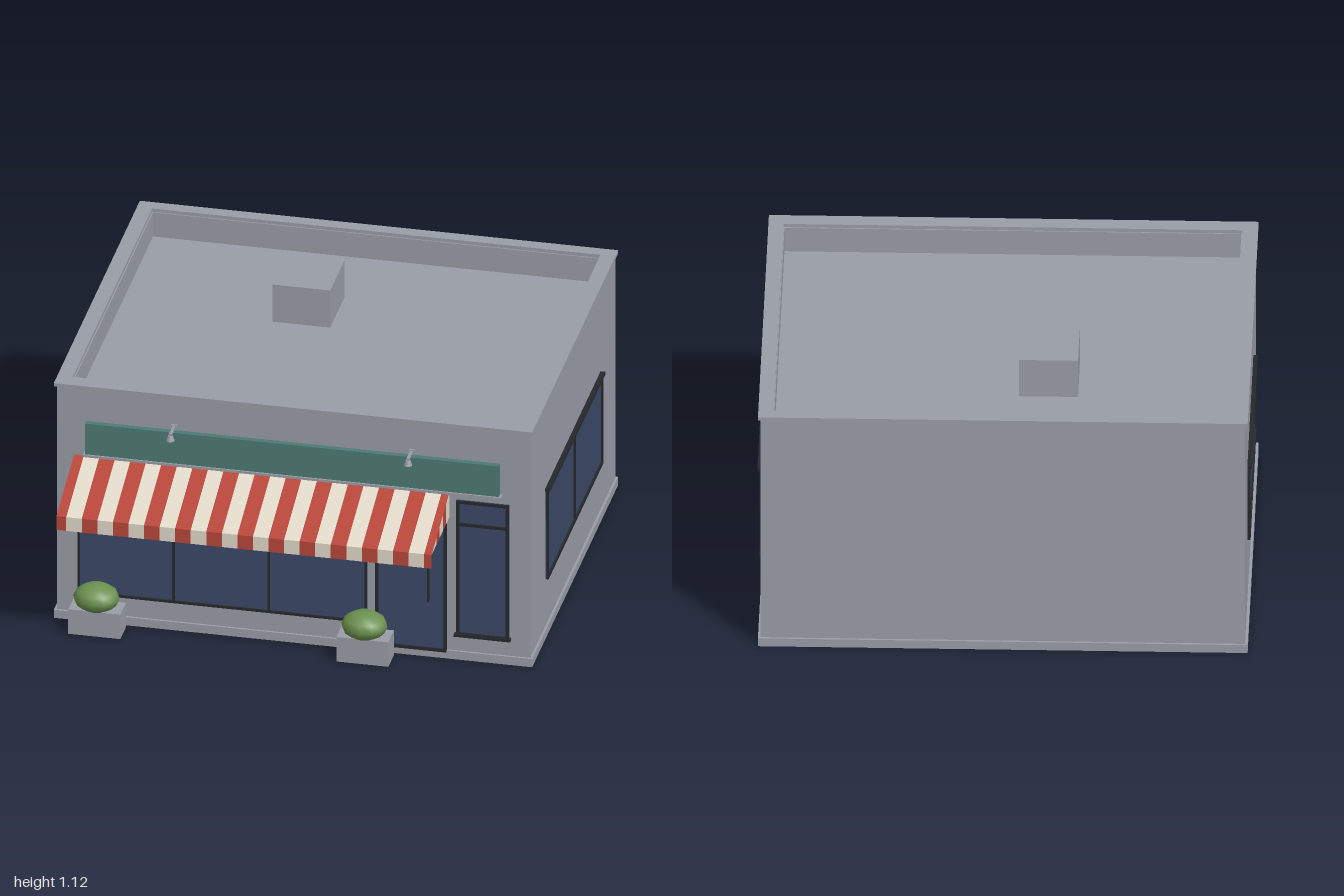
import * as THREE from 'three';

const paint = (name, color, side = THREE.FrontSide) => {
  const m = new THREE.MeshStandardMaterial({ color, side });
  m.name = name;
  return m;
};

export function createModel() {
  const shop = new THREE.Group();
  shop.name = 'shop';
  const wall = paint('wall grey', 0x999da7);
  const teal = paint('sign teal', 0x4d7a74);
  const glass = paint('glass blue', 0x3d4868);
  const dark = paint('frame dark', 0x25282b);
  const red = paint('awning red', 0xb8463a, THREE.DoubleSide);
  const cream = paint('awning cream', 0xe2dacb, THREE.DoubleSide);
  const leaf = paint('leaf green', 0x6c9150);

  const add = (parent, name, geo, mat) => {
    const mesh = new THREE.Mesh(geo, mat);
    mesh.name = name;
    parent.add(mesh);
    return mesh;
  };
  // Box given by its limits on each axis
  const box = (parent, name, mat, x0, x1, y0, y1, z0, z1) => {
    const mesh = add(parent, name, new THREE.BoxGeometry(x1 - x0, y1 - y0, z1 - z0), mat);
    mesh.position.set((x0 + x1) / 2, (y0 + y1) / 2, (z0 + z1) / 2);
    return mesh;
  };
  // Flat rectangular ring lying level between y0 and y1
  const ring = (name, outer, inner, y0, y1) => {
    const corners = ([x0, x1, z0, z1]) => [[x0, -z1], [x1, -z1], [x1, -z0], [x0, -z0]].map(p => new THREE.Vector2(...p));
    const shape = new THREE.Shape(corners(outer));
    shape.holes.push(new THREE.Path(corners(inner).reverse()));
    const geo = new THREE.ExtrudeGeometry(shape, { depth: y1 - y0, bevelEnabled: false });
    geo.rotateX(-Math.PI / 2);
    add(shop, name, geo, wall).position.y = y0;
  };
  // Framed glazing facing +z, with upright and level bars
  const glazing = (name, x0, x1, y0, y1, { uprights = [], levels = [], t = 0.01, depth = 0.012 } = {}) => {
    const g = new THREE.Group();
    g.name = name;
    box(g, 'pane', glass, x0, x1, y0, y1, -0.002, 0.005);
    [x0 + t / 2, x1 - t / 2, ...uprights].forEach(x => box(g, 'upright', dark, x - t / 2, x + t / 2, y0, y1, 0, depth));
    [y0 + t / 2, y1 - t / 2, ...levels].forEach(y => box(g, 'rail', dark, x0, x1, y - t / 2, y + t / 2, 0, depth + 0.001));
    shop.add(g);
    return g;
  };

  // Building shell and roof
  const F = 0.635;
  box(shop, 'walls', wall, -0.982, 0.98, 0.03, 0.95, -0.96, F);
  box(shop, 'plinth', wall, -0.993, 0.99, 0, 0.037, -0.97, 0.645);
  ring('parapet', [-0.982, 0.98, -0.96, F], [-0.925, 0.925, -0.91, 0.57], 0.95, 1.06);
  ring('coping', [-0.993, 0.99, -0.97, 0.645], [-0.93, 0.928, -0.915, 0.575], 1.06, 1.075);
  box(shop, 'roofUnit', wall, -0.295, -0.055, 0.95, 1.12, -0.56, -0.295);

  // Shop front glazing
  glazing('shopWindow', -0.895, 0.305, 0.125, 0.73, { uprights: [-0.497, -0.102] }).position.z = F;
  const door = glazing('door', 0.34, 0.635, 0.028, 0.73, { t: 0.013 });
  door.position.z = F;
  box(door, 'handle', dark, 0.558, 0.566, 0.26, 0.455, 0.015, 0.03);
  [0.28, 0.435].forEach(y => box(door, 'handleMount', dark, 0.559, 0.565, y - 0.005, y + 0.005, 0, 0.02));
  const narrow = glazing('narrowWindow', 0.675, 0.893, 0.112, 0.728, { levels: [0.62], t: 0.012 });
  narrow.position.z = F;
  box(narrow, 'sill', dark, 0.667, 0.9, 0.108, 0.12, 0, 0.02);

  // Side windows
  const right = glazing('leftSideWindow', -0.35, 0.68, 0.25, 0.66, { uprights: [0.165], t: 0.014 });
  right.rotation.y = Math.PI / 2;
  right.position.x = 0.98;
  box(right, 'head', dark, -0.355, 0.685, 0.655, 0.667, 0, 0.02);
  const left = glazing('rightSideWindow', -0.61, 0.27, 0.32, 0.66, { t: 0.014 });
  left.rotation.y = -Math.PI / 2;
  left.position.x = -0.982;
  box(left, 'head', dark, -0.615, 0.275, 0.655, 0.667, 0, 0.018);

  // Sign board, its ledge and lamps
  box(shop, 'signBoard', teal, -0.86, 0.855, 0.772, 0.912, F, 0.66);
  box(shop, 'signLedge', wall, -0.868, 0.865, 0.762, 0.772, F, 0.667);
  for (const x of [-0.495, 0.49]) {
    const lamp = new THREE.Group();
    lamp.name = 'signLamp';
    box(lamp, 'arm', wall, x - 0.006, x + 0.006, 0.924, 0.934, F, 0.715);
    box(lamp, 'mount', wall, x - 0.012, x + 0.012, 0.915, 0.938, F, 0.645);
    add(lamp, 'shade', new THREE.CylinderGeometry(0.01, 0.018, 0.022, 12), wall).position.set(x, 0.915, 0.712);
    shop.add(lamp);
  }

  // Striped awning: sloping cloth and hanging valance
  const awning = new THREE.Group();
  awning.name = 'awning';
  shop.add(awning);
  const [X0, X1, yTop, yLow, yHem, zBack, zFront] = [-0.91, 0.645, 0.755, 0.643, 0.58, 0.638, 0.97];
  const sheet = (name, mat, pts) => {
    const geo = new THREE.BufferGeometry();
    geo.setAttribute('position', new THREE.Float32BufferAttribute(pts.flat(), 3));
    geo.setIndex(pts.length === 4 ? [0, 1, 2, 0, 2, 3] : [0, 1, 2]);
    const flat = geo.toNonIndexed();
    flat.computeVertexNormals();
    add(awning, name, flat, mat);
  };
  for (let i = 0; i < 26; i++) {
    const a = Math.max(X0, -0.934 + i * 0.0645), b = Math.min(X1, -0.934 + (i + 1) * 0.0645);
    if (b - a < 0.001) continue;
    const mat = i % 2 ? cream : red;
    sheet('slopeStripe', mat, [[a, yLow, zFront], [b, yLow, zFront], [b, yTop, zBack], [a, yTop, zBack]]);
    sheet('valanceStripe', mat, [[a, yHem, zFront], [b, yHem, zFront], [b, yLow, zFront], [a, yLow, zFront]]);
  }
  // Triangular striped ends
  const cuts = [zFront, 0.875, 0.82, 0.76, 0.7, zBack];
  const slope = z => yLow + (yTop - yLow) * (zFront - z) / (zFront - zBack);
  for (const x of [X0, X1]) {
    for (let i = 0; i < 5; i++) {
      const [a, b] = [cuts[i], cuts[i + 1]];
      const pts = [[x, yLow, a], [x, yLow, b], [x, slope(b), b]];
      if (i) pts.push([x, slope(a), a]);
      if (x < 0) pts.reverse();
      sheet('endStripe', i % 2 ? red : cream, pts);
    }
  }

  // Planters with clipped shrubs
  for (const x of [-0.798, 0.313]) {
    box(shop, 'planter', wall, x - 0.108, x + 0.108, 0, 0.112, 0.66, 0.767);
    const shrub = add(shop, 'shrub', new THREE.SphereGeometry(1, 12, 6), leaf);
    shrub.scale.set(0.095, 0.06, 0.083);
    shrub.position.set(x, 0.16, 0.727);
  }
  return shop;
}
